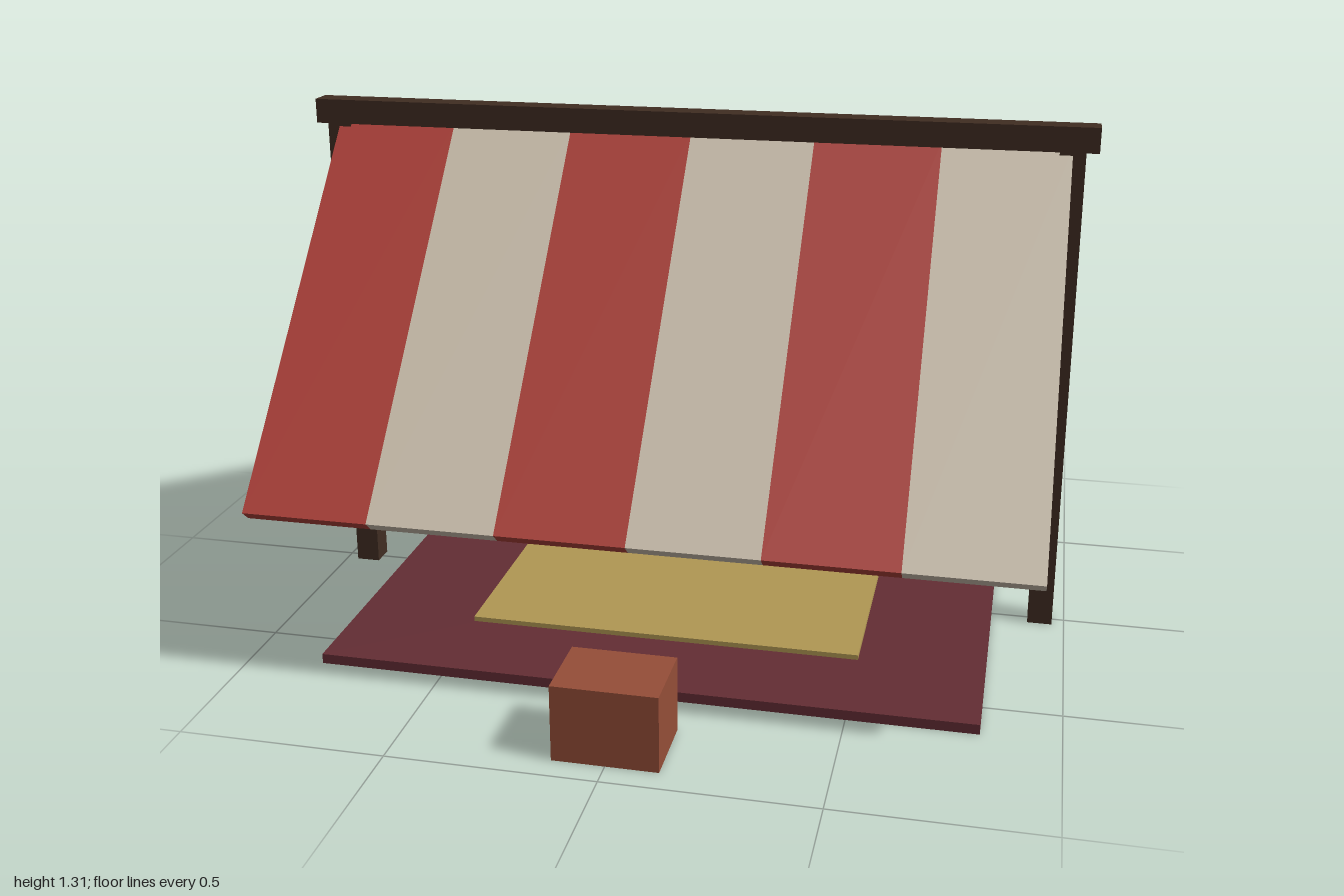
import * as THREE from 'three';

const material = (name, color) => {
  const m = new THREE.MeshStandardMaterial({ color });
  m.name = name;
  return m;
};

export function createModel() {
  const wood = material('dark wood', 0x402d22);
  const red = material('red cloth', 0xac4039);
  const cream = material('cream cloth', 0xccc0ae);
  const maroon = material('maroon rug', 0x632d34);
  const gold = material('gold mat', 0xb09753);
  const brown = material('brown seat', 0x954e38);

  const model = new THREE.Group();
  model.name = 'marketStall';

  const box = (parent, name, mat, size, position) => {
    const mesh = new THREE.Mesh(new THREE.BoxGeometry(...size), mat);
    mesh.name = name;
    mesh.position.set(...position);
    parent.add(mesh);
    return mesh;
  };

  // Frame: ridge beam on two posts
  box(model, 'ridgeBeam', wood, [2, 0.0625, 0.0625], [0, 1.281, 0]);
  box(model, 'leftPost', wood, [0.0625, 1.25, 0.0625], [0.9375, 0.625, 0]);
  box(model, 'rightPost', wood, [0.0625, 1.25, 0.0625], [-0.9375, 0.625, 0]);

  // Striped awning: two sloping panels hung from the ridge
  const drop = 0.82, reach = 0.72, stripeWidth = 0.3125;
  const slopeLength = Math.hypot(drop, reach);
  for (const side of [1, -1]) {
    const panel = new THREE.Group();
    panel.name = side > 0 ? 'frontAwning' : 'backAwning';
    panel.position.set(0, 1.25 - drop / 2, side * reach / 2);
    panel.rotation.x = side * Math.atan2(drop, reach);
    for (let i = 0; i < 6; i++) {
      box(panel, 'awningStripe', i % 2 ? cream : red,
        [stripeWidth, 0.0375, slopeLength], [(i - 2.5) * stripeWidth, 0, 0]);
    }
    model.add(panel);
  }

  // Rug with a smaller mat on top
  box(model, 'rug', maroon, [1.625, 0.025, 1.25], [0, 0.0125, 0]);
  box(model, 'mat', gold, [1, 0.0125, 0.75], [0, 0.0313, 0]);

  // Seats in front and behind
  box(model, 'frontSeat', brown, [0.25, 0.1875, 0.1875], [0, 0.0938, 0.8438]);
  box(model, 'backSeat', brown, [0.25, 0.1875, 0.1875], [0, 0.0938, -0.8438]);

  return model;
}
